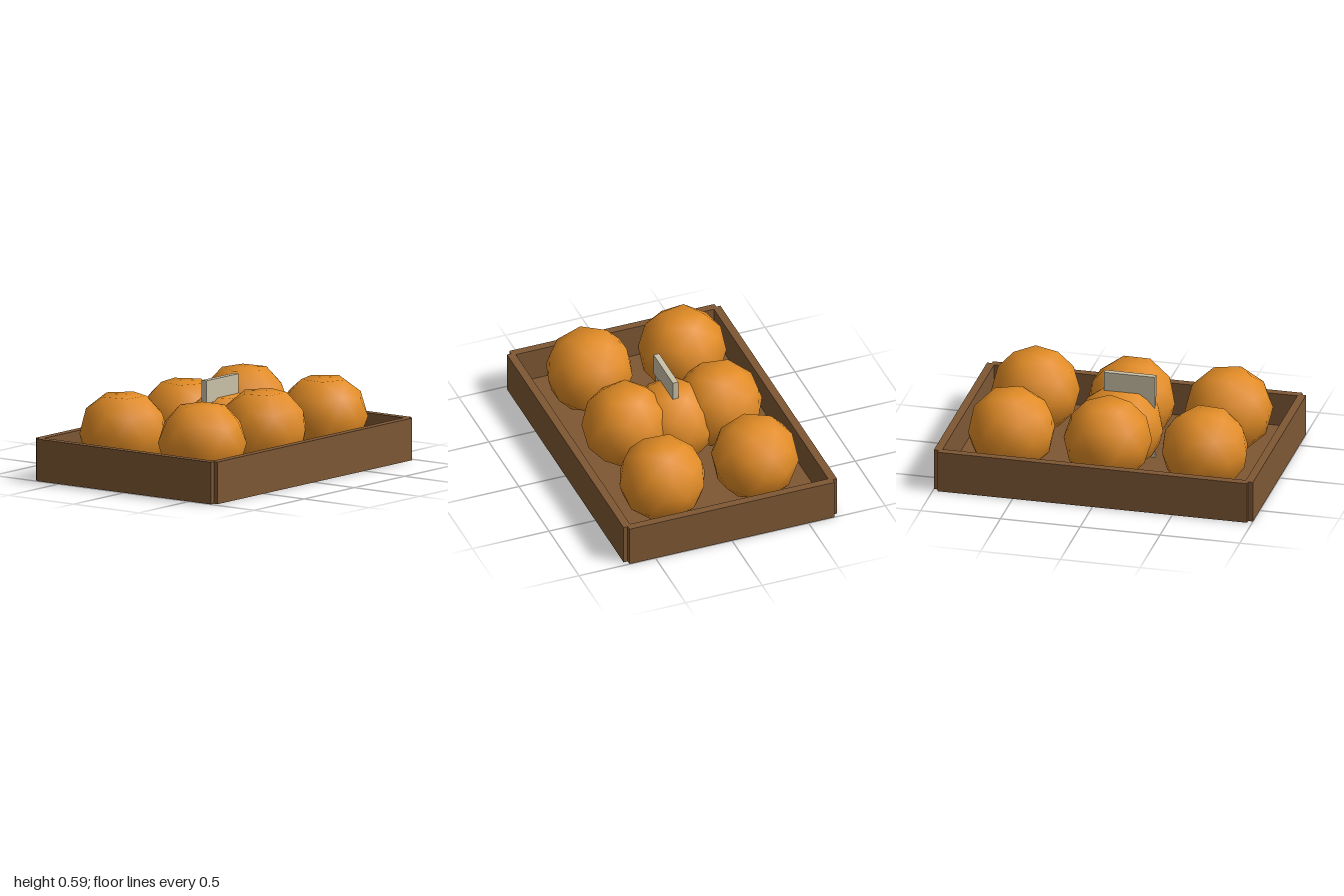
import * as THREE from 'three';

const paint = (name, color) => {
  const m = new THREE.MeshStandardMaterial({ color });
  m.name = name;
  return m;
};

export function createModel() {
  const group = new THREE.Group();
  group.name = 'fruitCrate';
  const wood = paint('brown wood', 0x7e5734);
  const peel = paint('orange peel', 0xe28c26);
  const card = paint('pale card', 0xcac1a8);

  const add = (name, geometry, material, x, y, z) => {
    const mesh = new THREE.Mesh(geometry, material);
    mesh.name = name;
    mesh.position.set(x, y, z);
    group.add(mesh);
    return mesh;
  };
  const box = (name, material, w, h, d, x, y, z) =>
    add(name, new THREE.BoxGeometry(w, h, d), material, x, y, z);

  // Tray: floor and four boards, with small notches at the corners
  box('trayFloor', wood, 1.92, 0.05, 1.31, 0, 0.025, 0);
  for (const s of [-1, 1]) {
    box(s > 0 ? 'frontBoard' : 'backBoard', wood, 1.94, 0.26, 0.05, 0, 0.13, s * 0.672);
    box(s > 0 ? 'leftBoard' : 'rightBoard', wood, 0.05, 0.26, 1.34, s * 0.975, 0.13, 0);
  }

  // Fruit: low-poly ball with a point upwards, flattened at both poles
  const r = 0.27;
  const fruit = new THREE.IcosahedronGeometry(r, 1);
  fruit.rotateZ(-Math.atan2(2, 1 + Math.sqrt(5)));
  const p = fruit.attributes.position;
  for (let i = 0; i < p.count; i++) {
    p.setY(i, THREE.MathUtils.clamp(p.getY(i), -0.851 * r, 0.851 * r));
  }
  let spin = 0.2;
  for (const x of [-0.608, 0, 0.603]) {
    for (const z of [-0.305, 0.302]) {
      add('fruit', fruit, peel, x, 0.285, z).rotation.y = spin;
      spin += 0.45;
    }
  }
  add('middleFruit', fruit, peel, 0, 0.235, 0).rotation.y = 0.3;

  // Price card on a stake
  box('card', card, 0.32, 0.14, 0.036, -0.06, 0.515, 0.016);
  box('cardStake', card, 0.11, 0.46, 0.02, -0.165, 0.229, 0.012);
  return group;
}
